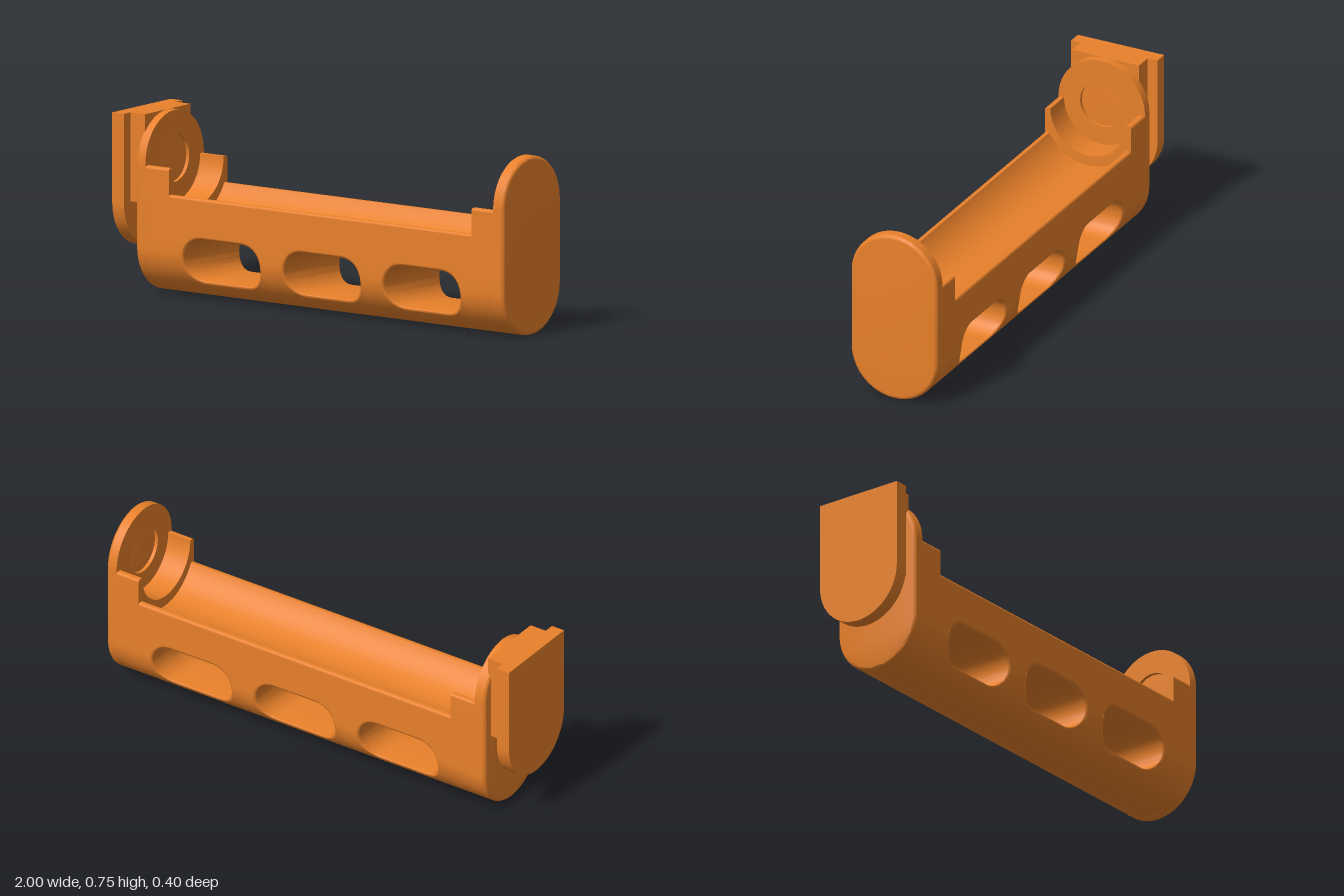
import * as THREE from 'three';
import { mergeGeometries, toCreasedNormals } from 'three/addons/utils/BufferGeometryUtils.js';

const R = 0.2;            // half width and end radius of the body
const TOP = 0.745;        // top of the end plates
const SKIN_TOP = 0.415;   // where the side walls meet the rounded rim
const WIN = { y: 0.17, r: 0.09, l: 0.105, f: 0.012, xs: [-0.445, 0.068, 0.58] };

// Half width of the body at height y, and its arc length parameter
const halfWidth = (y) => (y < R ? Math.sqrt(Math.max(0, R * R - (R - y) ** 2)) : R);
const arcAt = (y) => (y < R ? R * Math.acos(1 - y / R) : R * Math.PI / 2 + y - R);
const heightAt = (s) => (s < R * Math.PI / 2 ? R - R * Math.cos(s / R) : s - R * Math.PI / 2 + R);

// Surface through rows of points; it faces along (column direction) x (row direction)
function grid(rows, flip = false) {
  const n = rows[0].length, index = [];
  for (let v = 0; v < rows.length - 1; v++) {
    for (let u = 0; u < n - 1; u++) {
      const a = v * n + u, b = a + 1, c = a + n, d = c + 1;
      index.push(...(flip ? [a, d, b, a, c, d] : [a, b, d, a, d, c]));
    }
  }
  const g = new THREE.BufferGeometry();
  g.setAttribute('position', new THREE.Float32BufferAttribute(rows.flat(2), 3));
  g.setIndex(index);
  return g;
}

// Curved side walls with window openings, as columns split below and above each window
function skinGeometry() {
  const columns = [[-0.865, 0]], r = WIN.r + WIN.f, steps = 10;
  for (const cx of WIN.xs) {
    for (const side of [-1, 1]) {
      for (let i = 0; i <= steps; i++) {
        const a = (side < 0 ? i : steps - i) / steps * Math.PI / 2;
        columns.push([cx + side * (WIN.l + r * Math.cos(a)), r * Math.sin(a)]);
      }
    }
  }
  columns.push([0.985, 0]);
  const parts = [];
  for (const side of [1, -1]) {
    for (const upper of [false, true]) {
      const rows = [];
      for (let k = 0; k <= 12; k++) {
        rows.push(columns.map(([x, h]) => {
          const from = arcAt(upper ? WIN.y + h : 0);
          const to = arcAt(upper ? SKIN_TOP : WIN.y - h);
          const y = heightAt(from + (to - from) * k / 12);
          return [x, y, side * halfWidth(y)];
        }));
      }
      parts.push(grid(rows, side < 0));
    }
  }
  return toCreasedNormals(mergeGeometries(parts), 0.6);
}

// Through window lining with rounded lips on both sides
function windowGeometry(cx) {
  const rows = [], lip = 4, steps = 10;
  const ring = (side, t) => {
    const r = WIN.r + WIN.f * (1 - Math.sin(t)), depth = WIN.f * (1 - Math.cos(t)), row = [];
    for (const end of [1, -1]) {
      for (let i = 0; i <= 2 * steps; i++) {
        const a = -Math.PI / 2 + i / steps * Math.PI / 2;
        const y = WIN.y + end * r * Math.sin(a);
        row.push([cx + end * (WIN.l + r * Math.cos(a)), y, side * (halfWidth(y) - depth)]);
      }
    }
    row.push(row[0]);
    return row;
  };
  for (let k = 0; k <= lip; k++) rows.push(ring(1, k / lip * Math.PI / 2));
  for (let k = lip; k >= 0; k--) rows.push(ring(-1, k / lip * Math.PI / 2));
  return toCreasedNormals(grid(rows), 0.7);
}

// Cross-section (z, y) extruded along x from x0 to x1
function alongX(shape, x0, x1, bevel = 0) {
  const g = new THREE.ExtrudeGeometry(shape, {
    depth: x1 - x0 - 2 * bevel, curveSegments: 20, bevelEnabled: bevel > 0,
    bevelSize: bevel, bevelThickness: bevel, bevelOffset: -bevel, bevelSegments: 4,
  });
  g.translate(0, 0, x0 + bevel).rotateY(Math.PI / 2);
  return toCreasedNormals(g, 0.6);
}

// Trough block: round-edged rim at height top, circular channel cut into it
function troughShape(top, radius, cy) {
  const a = Math.asin((top - cy) / radius), w = radius * Math.cos(a), c = 0.01;
  const s = new THREE.Shape();
  s.moveTo(-0.185, 0.285);
  s.lineTo(0.185, 0.285);
  s.lineTo(0.185, SKIN_TOP);
  s.lineTo(R, SKIN_TOP);
  s.lineTo(R, top - c);
  s.quadraticCurveTo(R, top, R - c, top);
  s.lineTo(w, top);
  s.absarc(0, cy, radius, a, -Math.PI - a, true);
  s.lineTo(-R + c, top);
  s.quadraticCurveTo(-R, top, -R, top - c);
  s.lineTo(-R, SKIN_TOP);
  s.lineTo(-0.185, SKIN_TOP);
  s.closePath();
  return s;
}

// Rounded bottom with a rounded or flat top
function plateShape(bottom, roundTop) {
  const s = new THREE.Shape();
  s.absarc(0, bottom + R, R, Math.PI, 2 * Math.PI, false);
  if (roundTop) s.absarc(0, TOP - R, R, 0, Math.PI, false);
  else s.lineTo(R, TOP).lineTo(-R, TOP);
  s.closePath();
  return s;
}

export function createModel() {
  const model = new THREE.Group();
  const material = new THREE.MeshStandardMaterial({ color: 0xe8802a });
  const add = (name, geometry) => {
    const mesh = new THREE.Mesh(geometry, material);
    mesh.name = name;
    model.add(mesh);
    return mesh;
  };

  // Body walls and windows
  add('bodyWalls', skinGeometry());
  WIN.xs.forEach((x, i) => add(`window${i + 1}`, windowGeometry(x)));

  // Long channel and the raised cradles at both ends
  add('trough', alongX(troughShape(0.43, 0.2, 0.52), -0.71, 0.84));
  const cradle = troughShape(0.54, 0.175, 0.54);
  add('rightCradle', alongX(cradle, -0.84, -0.71));
  add('leftCradle', alongX(cradle, 0.84, 0.96));

  // End plates with a shallow round recess on the inner face
  const recessed = plateShape(0, true);
  recessed.holes.push(new THREE.Path().absarc(0, TOP - R, 0.1, 0, Math.PI * 2, true));
  const solid = plateShape(0, true);
  add('rightEndPlate', alongX(solid, -0.88, -0.845, 0.015));
  add('rightRecessPlate', alongX(recessed, -0.865, -0.83));
  add('leftEndPlate', alongX(solid, 0.965, 1, 0.015));
  add('leftRecessPlate', alongX(recessed, 0.95, 0.985));

  // Slide-in clip on the right end
  add('clipPlate', alongX(plateShape(0.172, false), -1, -0.94));
  add('clipNeck', new THREE.BoxGeometry(0.085, TOP - 0.375, 0.31))
    .position.set(-0.9075, (TOP + 0.375) / 2, 0);

  return model;
}
